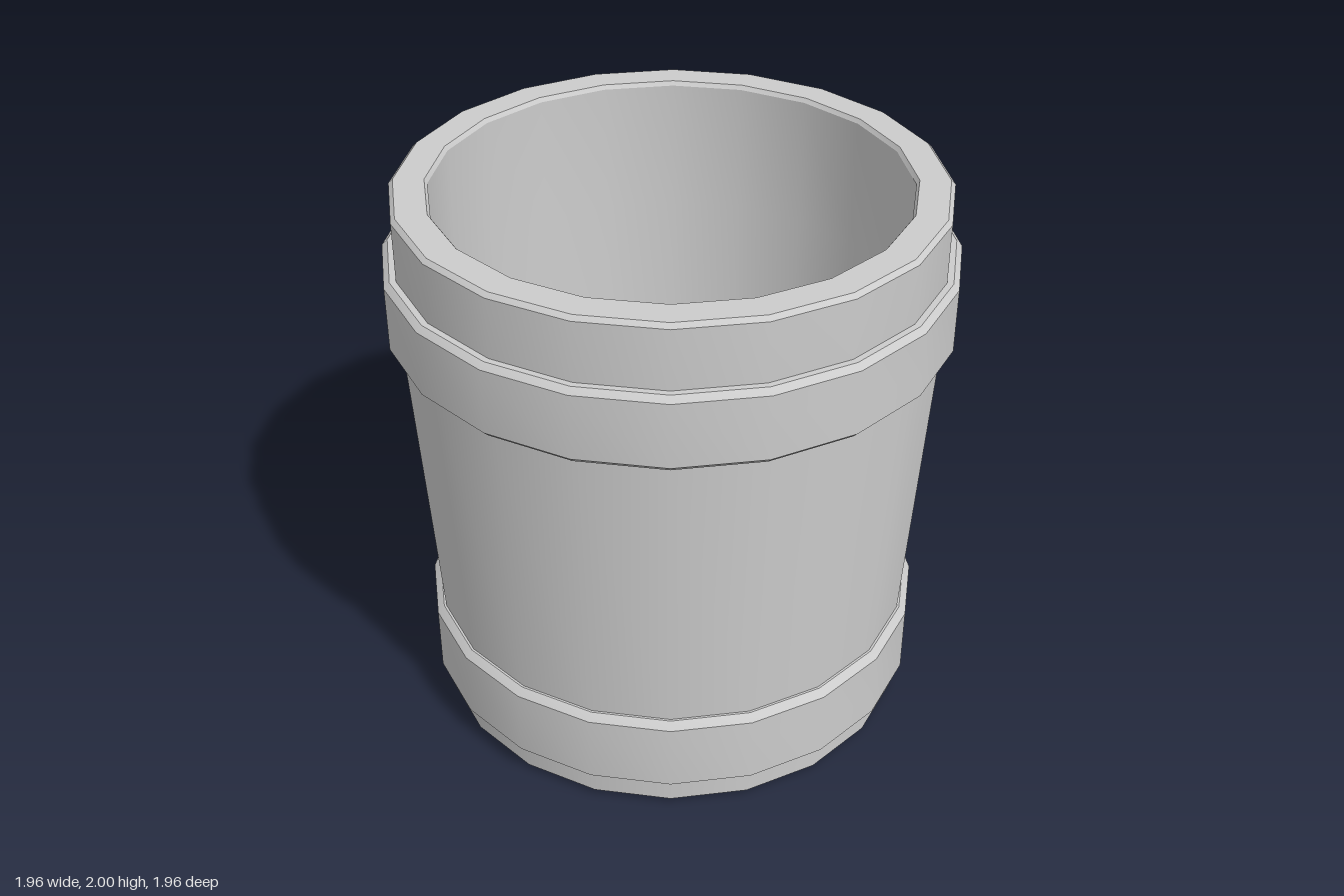
import * as THREE from 'three';
import { toCreasedNormals } from 'three/addons/utils/BufferGeometryUtils.js';

const SIDES = 20;
const material = new THREE.MeshStandardMaterial({ color: 0xcccccc });

// Turn a [radius, height] profile, smooth around and sharp at the bevels
function turned(name, profile) {
  const points = profile.map(([r, y]) => new THREE.Vector2(r, y));
  const geometry = toCreasedNormals(new THREE.LatheGeometry(points, SIDES), Math.PI / 7);
  const mesh = new THREE.Mesh(geometry, material);
  mesh.name = name;
  return mesh;
}

// Bevelled hoop, closed on the inside
function hoop(name, inner, outer, bottom, top, bevel) {
  return turned(name, [
    [inner, bottom], [outer - bevel, bottom], [outer, bottom + bevel],
    [outer, top - bevel], [outer - bevel, top], [inner, top], [inner, bottom],
  ]);
}

export function createModel() {
  const group = new THREE.Group();
  group.name = 'bucket';

  // Tapered hollow body: underside, outer wall, rim, inner wall, floor
  group.add(turned('body', [
    [0, 0], [0.85, 0], [0.87, 0.02], [0.87, 0.37], [0.94, 1.51],
    [0.94, 1.985], [0.925, 2], [0.82, 2], [0.81, 1.985],
    [0.81, 1.51], [0.73, 0.14], [0.705, 0.11], [0, 0.11],
  ]));

  // Two raised hoops
  group.add(hoop('lowerHoop', 0.82, 0.905, 0.1, 0.4, 0.025));
  group.add(hoop('upperHoop', 0.9, 0.982, 1.505, 1.775, 0.02));

  return group;
}
